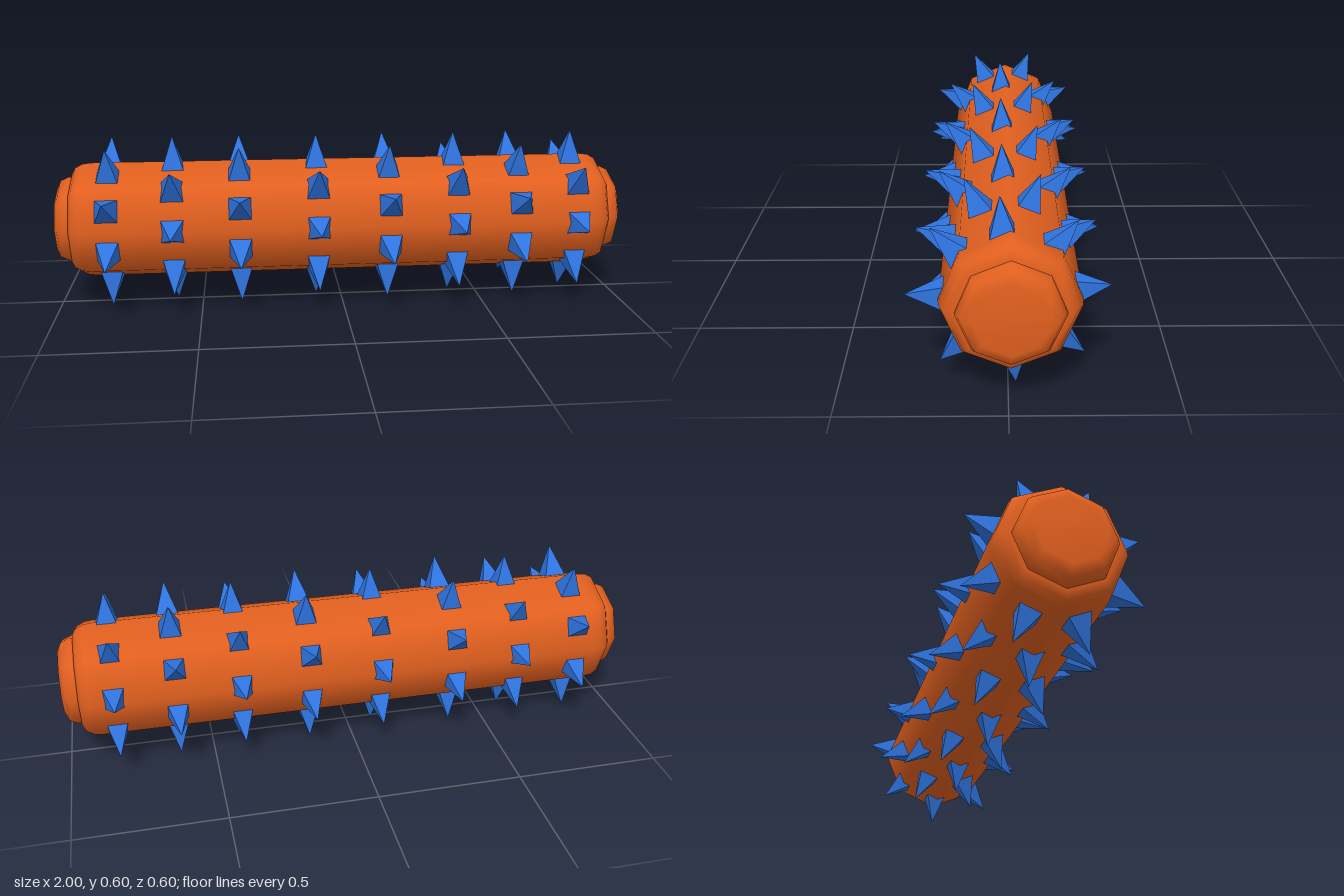
import * as THREE from 'three';

const orange = new THREE.MeshStandardMaterial({ color: 0xe2601f });
orange.name = 'orange';
const blue = new THREE.MeshStandardMaterial({ color: 0x2f74e0, flatShading: true });
blue.name = 'blue';

const AXIS_Y = 0.298, BODY_Z = -0.007;

// Eight-sided smooth lathe lying along x; profile is [radius, x]
function latheX(name, profile) {
  const pts = profile.map(([r, x]) => new THREE.Vector2(r, x));
  const mesh = new THREE.Mesh(new THREE.LatheGeometry(pts, 8).rotateZ(-Math.PI / 2), orange);
  mesh.name = name;
  mesh.position.set(0, AXIS_Y, BODY_Z);
  return mesh;
}

export function createModel() {
  const model = new THREE.Group();
  model.name = 'spikedRoller';

  // Long barrel with rounded shoulders
  const shoulder = [[0.206, 0.875], [0.202, 0.905], [0.188, 0.93], [0.165, 0.942], [0.14, 0.942]];
  const mirrored = shoulder.map(([r, x]) => [r, -x]).reverse();
  model.add(latheX('barrel', [...mirrored, ...shoulder]));

  // Domed end caps
  const cap = [[0.157, 0.935], [0.157, 0.955], [0.144, 0.982], [0.11, 0.997], [0, 1.0]];
  model.add(latheX('leftEndCap', cap));
  model.add(latheX('rightEndCap', cap.map(([r, x]) => [r, -x]).reverse()));

  // Rings of four-sided spikes, staggered from ring to ring
  const spike = new THREE.ConeGeometry(0.04 * Math.SQRT2, 0.122, 4)
    .rotateY(Math.PI / 4)
    .translate(0, 0.239, 0);
  const ringX = [-0.81, -0.59, -0.36, -0.09, 0.16, 0.4, 0.62, 0.825];
  const angles = [
    [24, 66.5, 111, 160.5, 205, 248, 295.5, 339],
    [3, 46, 89.5, 136.5, 183, 227.5, 273, 317],
  ];
  ringX.forEach((x, i) => {
    const ring = new THREE.Group();
    ring.name = `spikeRing${i + 1}`;
    ring.position.set(x, AXIS_Y, 0);
    const twist = i > 5 ? 1.5 : 0;
    angles[i % 2].forEach((a) => {
      const mesh = new THREE.Mesh(spike, blue);
      mesh.name = 'spike';
      mesh.rotation.x = THREE.MathUtils.degToRad(a + twist);
      ring.add(mesh);
    });
    model.add(ring);
  });

  return model;
}
